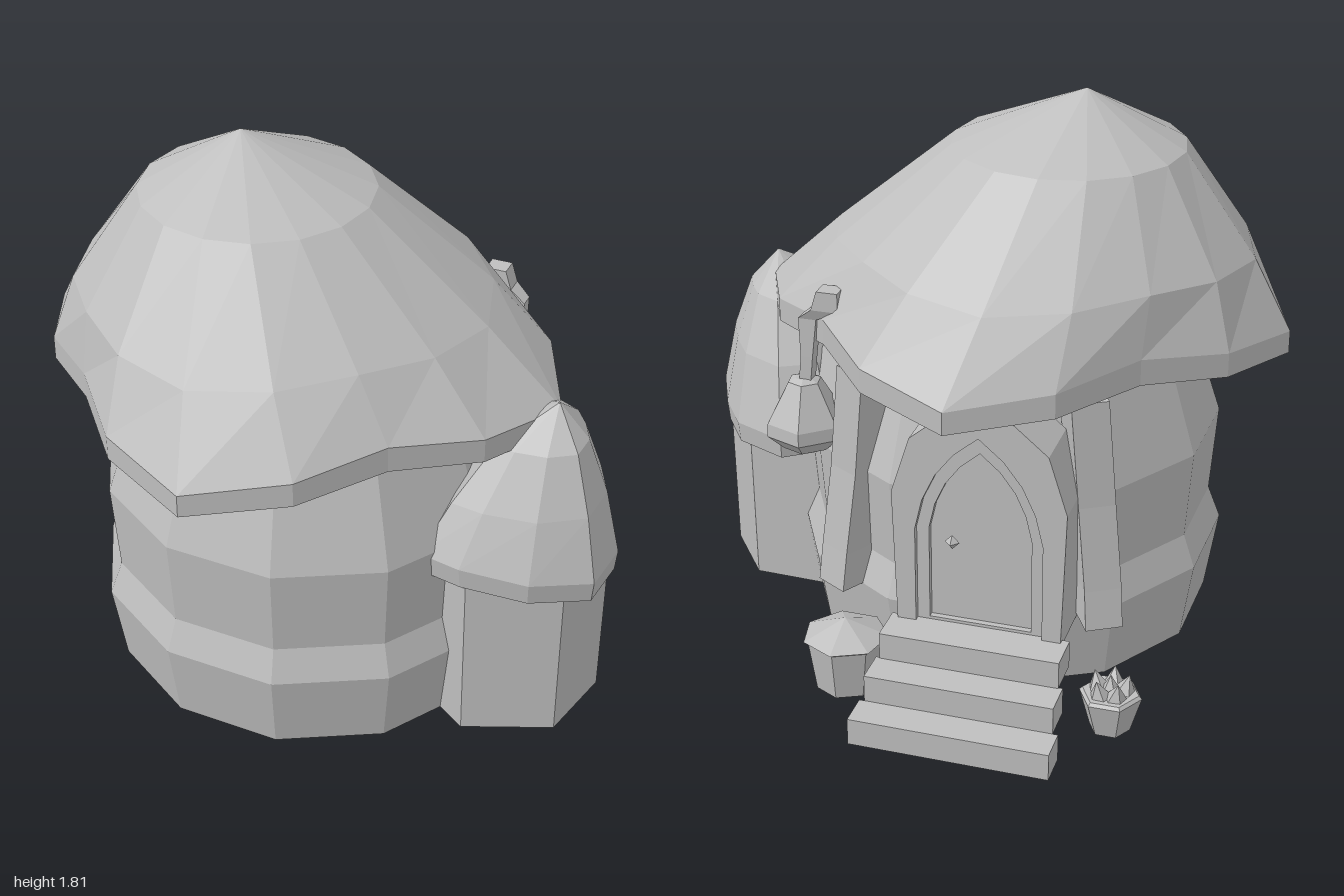
import * as THREE from 'three';

const stone = new THREE.MeshStandardMaterial({ color: 0xbebebe });
stone.name = 'pale grey';
stone.flatShading = true;
stone.side = THREE.DoubleSide; // wall shells are open underneath
const rad = Math.PI / 180;

// Ring of n corners; r and y may be functions of the angle (0 = +z, 90 = +x)
function ring(n, phase, cx, cz, r, y) {
  return Array.from({ length: n }, (_, i) => {
    const a = phase * rad + (i * 2 * Math.PI) / n;
    const rr = typeof r === 'function' ? r(a) : r;
    const yy = typeof y === 'function' ? y(a) : y;
    return [cx + rr * Math.sin(a), yy, cz + rr * Math.cos(a)];
  });
}

// Plan outline scaled about a centre; y may be a function of x and z
const planRing = (plan, cx, cz, s, y) => plan.map(([x, z]) =>
  [cx + (x - cx) * s, typeof y === 'function' ? y(x, z) : y, cz + (z - cz) * s]);

// Rectangular ring turned about the vertical
const rect = (cx, y, cz, w, d, turn = 0) => [[-1, 1], [1, 1], [1, -1], [-1, -1]].map(([i, j]) => {
  const x = i * w / 2, z = j * d / 2, c = Math.cos(turn), s = Math.sin(turn);
  return [cx + x * c + z * s, y, cz - x * s + z * c];
});

// Faceted solid through rings listed from bottom to top
function loft(name, rings, openBase = false) {
  const p = [];
  const n = rings[0].length;
  const top = rings[rings.length - 1];
  const mid = (r) => [0, 1, 2].map((k) => r.reduce((s, v) => s + v[k], 0) / n);
  const low = mid(rings[0]);
  const high = mid(top);
  for (let i = 0; i < n; i++) {
    const j = (i + 1) % n;
    if (!openBase) p.push(...low, ...rings[0][j], ...rings[0][i]);
    for (let k = 0; k < rings.length - 1; k++) {
      const a = rings[k], b = rings[k + 1];
      p.push(...a[i], ...a[j], ...b[j], ...a[i], ...b[j], ...b[i]);
    }
    p.push(...top[i], ...top[j], ...high);
  }
  const g = new THREE.BufferGeometry();
  g.setAttribute('position', new THREE.Float32BufferAttribute(p, 3));
  g.computeVertexNormals();
  return named(name, g);
}

function named(name, geometry) {
  const m = new THREE.Mesh(geometry, stone);
  m.name = name;
  return m;
}

function box(name, x0, x1, y0, y1, z0, z1) {
  const m = named(name, new THREE.BoxGeometry(x1 - x0, y1 - y0, z1 - z0));
  m.position.set((x0 + x1) / 2, (y0 + y1) / 2, (z0 + z1) / 2);
  return m;
}

// Pointed arch outline standing on y = base
function arch(path, w, base, spring, top) {
  path.moveTo(-w, base);
  path.lineTo(w, base);
  path.lineTo(w, spring);
  path.quadraticCurveTo(w * 0.85, spring + (top - spring) * 0.65, 0, top);
  path.quadraticCurveTo(-w * 0.85, spring + (top - spring) * 0.65, -w, spring);
  path.lineTo(-w, base);
  return path;
}

const extrude = (shape, depth) =>
  new THREE.ExtrudeGeometry(shape, { depth, bevelEnabled: false, curveSegments: 4 });

function house() {
  const g = new THREE.Group();
  g.name = 'house';
  // Bulging wall with a base ledge
  const wall = [[0, 0.678], [0.27, 0.72], [0.38, 0.678], [0.68, 0.7], [1.0, 0.595], [1.12, 0.53]];
  g.add(loft('wall', wall.map(([y, r]) => ring(12, 13, -0.08, 0.11, r, y)), true));
  // Wavy four-cornered roof leaning to one side
  const rim = (a) => 0.803 + 0.08 * Math.cos(4 * a);
  const wave = (base, h) => (a) => base + h * (1 - Math.cos(4 * a)) / 2;
  g.add(loft('roof', [
    ring(16, 0, -0.09, 0.11, 0.57, 0.995),
    ring(16, 0, -0.12, 0.108, rim, wave(0.99, 0.065)),
    ring(16, 0, -0.12, 0.108, rim, wave(1.065, 0.075)),
    ring(16, 0, -0.185, 0.105, (a) => 0.67 + 0.025 * Math.cos(4 * a), wave(1.3, 0.03)),
    ring(16, 0, -0.265, 0.11, 0.378, 1.63),
    ring(16, 0, -0.32, 0.105, 0.003, 1.81),
  ]));
  return g;
}

function tower() {
  const g = new THREE.Group();
  g.name = 'sideTower';
  const walls = [[0.6, 0.475], [0.88, 0.36], [0.94, 0.09], [0.78, -0.12], [0.5, -0.13], [0.34, 0.1], [0.38, 0.33]];
  g.add(loft('towerWall', [
    planRing(walls, 0.63, 0.175, 1, 0),
    planRing(walls, 0.63, 0.175, 1.02, 0.6),
  ], true));
  // Drooping cap with a slanted rim
  const eaves = [[0.44, 0.475], [0.58, 0.495], [0.8, 0.47], [0.975, 0.355], [0.99, 0.15], [0.91, -0.02],
    [0.81, -0.16], [0.62, -0.25], [0.47, -0.17], [0.41, 0.05], [0.41, 0.3]];
  const slant = (base) => (x, z) => base - 0.06 * (x - 0.7) + 0.06 * (z - 0.12);
  g.add(loft('towerRoof', [
    planRing(eaves, 0.68, 0.15, 0.78, 0.58),
    planRing(eaves, 0.68, 0.15, 0.975, slant(0.553)),
    planRing(eaves, 0.68, 0.15, 1, slant(0.625)),
    planRing(eaves, 0.77, 0.16, 0.77, 0.83),
    planRing(eaves, 0.77, 0.16, 0.46, 1.01),
    planRing(eaves, 0.77, 0.16, 0.01, 1.12),
  ]));
  return g;
}

function entrance() {
  const g = new THREE.Group();
  g.name = 'entrance';
  // Doorway faces the back
  const door = new THREE.Group();
  door.name = 'doorway';
  door.position.set(-0.2, 0, 0);
  door.rotation.y = Math.PI;
  const outer = new THREE.Shape([[-0.265, 0.25], [0.265, 0.25], [0.28, 0.72], [0.22, 0.91], [0.1, 1.01],
    [-0.1, 1.01], [-0.22, 0.91], [-0.28, 0.72]].map(([x, y]) => new THREE.Vector2(x, y)));
  outer.holes.push(arch(new THREE.Path(), 0.205, 0.27, 0.6, 0.94));
  const surround = named('doorSurround', extrude(outer, 0.2));
  surround.position.z = 0.47;
  const band = arch(new THREE.Shape(), 0.205, 0.27, 0.6, 0.94);
  band.holes.push(arch(new THREE.Path(), 0.165, 0.28, 0.6, 0.88));
  const trim = named('doorTrim', extrude(band, 0.04));
  trim.position.z = 0.61;
  const panel = named('doorPanel', extrude(arch(new THREE.Shape(), 0.19, 0.27, 0.6, 0.91), 0.03));
  panel.position.z = 0.6;
  const knob = named('doorKnob', new THREE.OctahedronGeometry(0.024));
  knob.position.set(-0.09, 0.56, 0.65);
  door.add(surround, trim, panel, knob);
  g.add(door);
  // Crooked posts on both sides, following the wall
  const path = [[0.27, 0.42, -0.49], [0.4, 0.41, -0.475], [0.68, 0.38, -0.455], [1.03, 0.35, -0.455]];
  for (const s of [-1, 1]) {
    g.add(loft('leaningPost', path.map(([y, x, z]) =>
      rect(-0.12 + s * x, y, z, 0.12, 0.14, -s * 30 * rad))));
  }
  // Stair slabs
  [[0.32, -1.0, -0.89], [0.303, -0.89, -0.775], [0.29, -0.78, -0.65]].forEach(([w, z0, z1], i) => {
    g.add(box('step', -0.2 - w, -0.2 + w, i * 0.09, (i + 1) * 0.09, z0, z1));
  });
  return g;
}

function lantern() {
  const g = new THREE.Group();
  g.name = 'lantern';
  const prof = [[0.68, 0.08], [0.73, 0.132], [0.775, 0.13], [0.91, 0.055], [0.92, 0.03]];
  g.add(loft('lanternBody', prof.map(([y, r]) => ring(6, 10, 0.472, -0.375, r, y))));
  // Crooked bracket
  g.add(loft('lanternBracket', [
    rect(0.465, 0.9, -0.37, 0.04, 0.045), rect(0.455, 1.0, -0.37, 0.04, 0.045),
    rect(0.45, 1.13, -0.365, 0.06, 0.05), rect(0.385, 1.17, -0.375, 0.09, 0.065),
    rect(0.375, 1.235, -0.375, 0.07, 0.065),
  ]));
  return g;
}

function pots() {
  const g = new THREE.Group();
  g.name = 'pots';
  // Wide pot with a low mound
  g.add(loft('roundPot', [[0, 0.1], [0.17, 0.125], [0.18, 0.14], [0.24, 0.003]]
    .map(([y, r]) => ring(7, 25, 0.24, -0.68, r, y))));
  // Small pot with pointed sprouts
  g.add(loft('smallPot', [[0, 0.065], [0.12, 0.1], [0.13, 0.09]]
    .map(([y, r]) => ring(6, 30, -0.63, -0.675, r, y))));
  for (let i = 0; i < 6; i++) {
    const a = i * 72 * rad;
    const d = i < 5 ? 0.05 : 0;
    const sprout = named('sprout', new THREE.ConeGeometry(0.04, 0.07, 5));
    sprout.position.set(-0.63 + d * Math.sin(a), 0.155, -0.675 + d * Math.cos(a));
    sprout.rotation.set(d * 5 * Math.cos(a), 0, -d * 5 * Math.sin(a));
    g.add(sprout);
  }
  return g;
}

export function createModel() {
  const model = new THREE.Group();
  model.name = 'cottage';
  model.add(house(), tower(), entrance(), lantern(), pots());
  return model;
}
